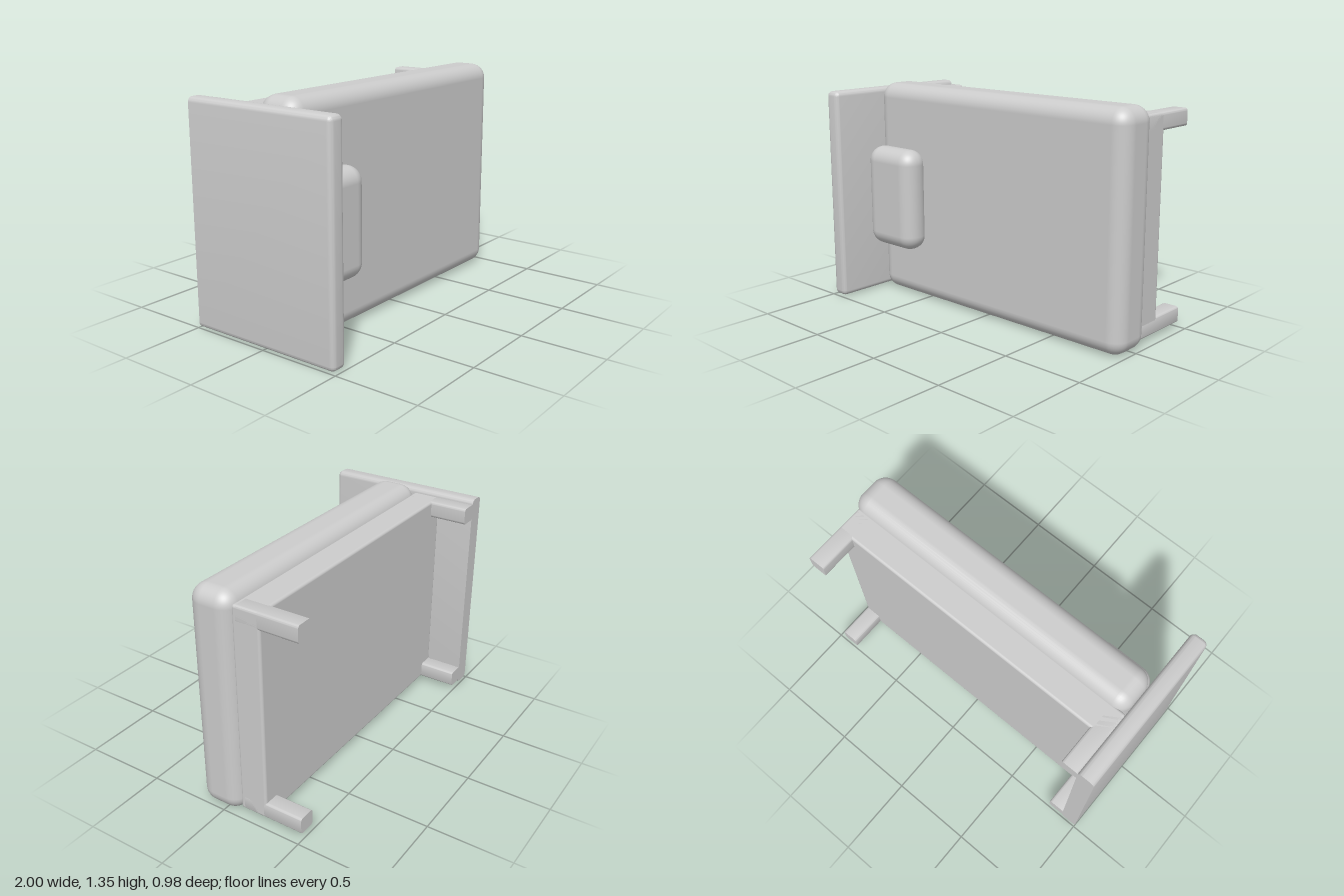
import * as THREE from 'three';
import { RoundedBoxGeometry } from 'three/addons/geometries/RoundedBoxGeometry.js';
import { toCreasedNormals } from 'three/addons/utils/BufferGeometryUtils.js';

const grey = new THREE.MeshStandardMaterial({ color: 0xcccccc });
grey.name = 'grey';
const FLOOR = -0.49; // plane where the legs and headboard are cut flat

// Rounded box between two corners; cut = true gives it a flat end at FLOOR
function part(name, [x0, y0, z0], [x1, y1, z1], radius, segments, cut = false) {
  if (cut) z0 = FLOOR - radius;
  let geo = new RoundedBoxGeometry(x1 - x0, y1 - y0, z1 - z0, segments, radius);
  geo.translate((x0 + x1) / 2, (y0 + y1) / 2, (z0 + z1) / 2);
  if (cut) {
    const pos = geo.attributes.position;
    for (let i = 0; i < pos.count; i++) pos.setZ(i, Math.max(FLOOR, pos.getZ(i)));
    geo = toCreasedNormals(geo, 0.7);
  }
  const mesh = new THREE.Mesh(geo, grey);
  mesh.name = name;
  return mesh;
}

export function createModel() {
  const bed = new THREE.Group();
  bed.name = 'bed';

  bed.add(part('headboard', [-1, 0.005, 0], [-0.897, 1.31, 0.49], 0.03, 4, true));
  bed.add(part('frame', [-0.9, 0.03, -0.262], [0.955, 1.285, -0.09], 0.016, 3));
  bed.add(part('mattress', [-0.897, 0, -0.108], [1, 1.346, 0.164], 0.09, 5));
  bed.add(part('pillow', [-0.877, 0.33, 0.122], [-0.475, 0.96, 0.306], 0.09, 5));

  // Four legs at the corners of the frame
  for (const [x0, x1] of [[-0.9, -0.795], [0.85, 0.955]]) {
    for (const [y0, y1] of [[0.03, 0.128], [1.185, 1.285]]) {
      bed.add(part('leg', [x0, y0, 0], [x1, y1, -0.1], 0.016, 3, true));
    }
  }
  return bed;
}
